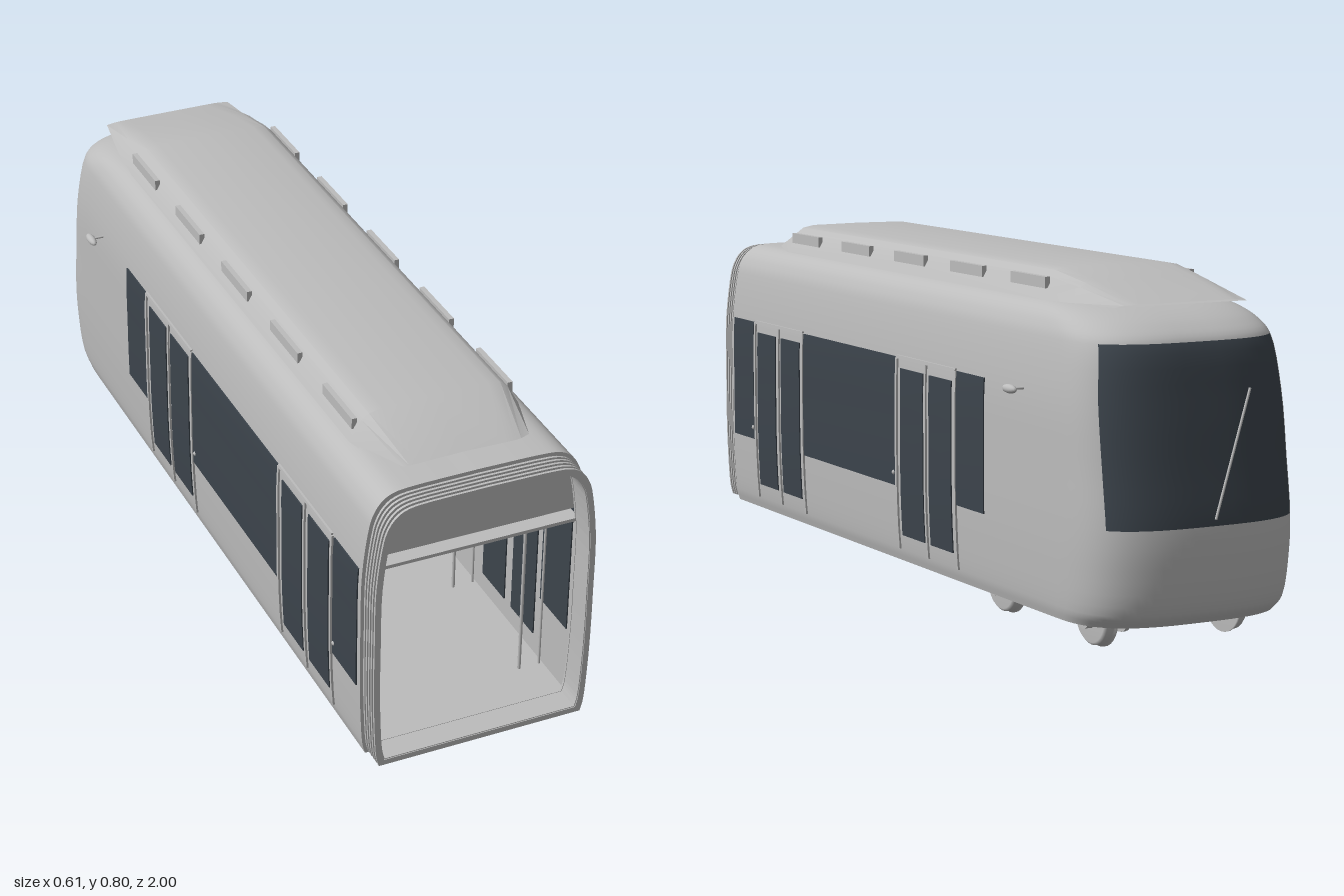
import * as THREE from 'three';
import { toCreasedNormals } from 'three/addons/utils/BufferGeometryUtils.js';

const END = 0.94; // z where the shell meets the bellows
const SUB = 4;    // subdivisions between body levels

// Body levels: half width, height, nose z
const LEVELS = [
  [0.25, 0.07, -0.945], [0.257, 0.1, -0.972], [0.263, 0.2, -0.988], [0.265, 0.285, -0.988],
  [0.265, 0.4, -0.972], [0.263, 0.55, -0.95], [0.247, 0.67, -0.925], [0.236, 0.7, -0.89],
  [0.222, 0.72, -0.845], [0.2, 0.735, -0.785], [0.165, 0.742, -0.73], [0, 0.745, -0.7],
].map((p) => new THREE.Vector3(...p));
const levelCurve = new THREE.CatmullRomCurve3(LEVELS);
const PROFILE = levelCurve.getPoints((LEVELS.length - 1) * SUB);

// Half width of the body at a height
function widthAt(y) {
  const i = Math.max(1, PROFILE.findIndex((p) => p.y >= y));
  const a = PROFILE[i - 1], b = PROFILE[i];
  return THREE.MathUtils.lerp(a.x, b.x, (y - a.y) / (b.y - a.y));
}

// Plan outline of one level: +x side, rounded nose, -x side
const NOSE = 20;
function outline({ x: w, y, z: front }) {
  const depth = 0.2, half = [new THREE.Vector3(w, y, END)];
  for (let i = 0; i <= NOSE; i++) {
    const t = (i / NOSE) * Math.PI / 2;
    const c = i === NOSE ? 0 : Math.cos(t);
    half.push(new THREE.Vector3(w * c ** (2 / 3), y, front + depth * (1 - Math.sin(t) ** (2 / 3))));
  }
  const mirror = half.slice(0, -1).reverse().map((p) => new THREE.Vector3(-p.x, p.y, p.z));
  return [...half, ...mirror];
}

// Skin over rows of points; cells passing the test go to the second group
function grid(rows, second = () => false) {
  const n = rows[0].length, parts = [[], []];
  for (let j = 0; j < rows.length - 1; j++) {
    for (let i = 0; i < n - 1; i++) {
      const a = j * n + i, b = a + 1, c = a + n, d = c + 1;
      parts[second(i, j) ? 1 : 0].push(a, b, c, b, d, c);
    }
  }
  const g = new THREE.BufferGeometry().setFromPoints(rows.flat());
  g.setIndex([...parts[0], ...parts[1]]);
  g.addGroup(0, parts[0].length, 0);
  if (parts[1].length) g.addGroup(parts[0].length, parts[1].length, 1);
  g.computeVertexNormals();
  return g;
}

// Body cross-section, shrunk by an inset
function sectionPoints(inset) {
  const kx = 1 - inset / 0.265, ky = 1 - inset / 0.335;
  const right = PROFILE.map((p) => new THREE.Vector2(p.x * kx, 0.405 + (p.y - 0.405) * ky));
  const left = right.slice(0, -1).reverse().map((p) => new THREE.Vector2(-p.x, p.y));
  return [...right, ...left];
}

function ring(outer, inner, depth) {
  const shape = new THREE.Shape(sectionPoints(outer));
  shape.holes.push(new THREE.Path(sectionPoints(inner)));
  return new THREE.ExtrudeGeometry(shape, { depth, bevelEnabled: false });
}

export function createModel() {
  const model = new THREE.Group();
  const paint = new THREE.MeshStandardMaterial({ color: 0xbcbcbc, side: THREE.DoubleSide });
  paint.name = 'grey paint';
  const glass = new THREE.MeshStandardMaterial({ color: 0x3c444c, side: THREE.DoubleSide });
  glass.name = 'dark glass';

  const add = (name, geo, x = 0, y = 0, z = 0, mat = paint) => {
    const m = new THREE.Mesh(geo, mat);
    m.name = name;
    m.position.set(x, y, z);
    model.add(m);
    return m;
  };
  // Box from its limits
  const box = (name, x0, x1, y0, y1, z0, z1, mat = paint) =>
    add(name, new THREE.BoxGeometry(x1 - x0, y1 - y0, z1 - z0), (x0 + x1) / 2, (y0 + y1) / 2, (z0 + z1) / 2, mat);
  // Round bar between two points
  const rod = (name, a, b, r, sides = 8) => {
    const from = new THREE.Vector3(...a), dir = new THREE.Vector3(...b).sub(from);
    const m = add(name, new THREE.CylinderGeometry(r, r, dir.length(), sides));
    m.position.copy(from).addScaledVector(dir, 0.5);
    m.quaternion.setFromUnitVectors(new THREE.Vector3(0, 1, 0), dir.normalize());
  };
  // Thin plate bent to the body side
  const sidePlate = (name, s, y0, y1, z0, z1, mat, thick = 0.006) => {
    const g = new THREE.BoxGeometry(thick, y1 - y0, z1 - z0, 1, 8, 1);
    g.translate(0, (y0 + y1) / 2, (z0 + z1) / 2);
    const p = g.attributes.position;
    for (let i = 0; i < p.count; i++) p.setX(i, p.getX(i) + s * widthAt(p.getY(i)));
    g.computeVertexNormals();
    add(name, g, 0, 0, 0, mat);
  };

  // Shell with wrap-around windscreen, and underside
  const isScreen = (i, j) => j >= 3 * SUB && j < 6 * SUB && i >= 9 && i < 2 * NOSE - 7;
  add('bodyShell', grid(PROFILE.map(outline), isScreen), 0, 0, 0, [paint, glass]);
  const base = LEVELS[0];
  add('underside', grid([outline(new THREE.Vector3(0, base.y, base.z)), outline(base)]));

  // Open end: rim, ribbed bellows and bulkhead above the passage
  add('endRim', ring(0, 0.022, 0.006), 0, 0, END - 0.006);
  add('bellowsCore', ring(0.011, 0.021, 0.058), 0, 0, END);
  for (let i = 0; i < 5; i++) add('bellowsRib', ring(0.006, 0.019, 0.006), 0, 0, END + 0.004 + i * 0.0125);
  const upper = sectionPoints(0.012).filter((p) => p.y > 0.55);
  add('bulkhead', new THREE.ExtrudeGeometry(new THREE.Shape(upper), { depth: 0.005, bevelEnabled: false }), 0, 0, 0.925);

  // Interior lining
  const CAB = -0.47;
  box('floor', -0.247, 0.247, 0.078, 0.085, CAB, END);
  box('ceiling', -0.247, 0.247, 0.548, 0.556, CAB, END);
  box('cabWall', -0.247, 0.247, 0.08, 0.55, CAB - 0.008, CAB);
  box('cabWindow', -0.18, -0.065, 0.35, 0.45, CAB, CAB + 0.004, glass);
  box('displayFrame', -0.07, 0.07, 0.48, 0.53, CAB, CAB + 0.006);
  box('displayPanel', -0.063, 0.063, 0.486, 0.526, CAB + 0.006, CAB + 0.01, glass);

  const windows = [[0.8, 0.925], [-0.02, 0.495], [-0.455, -0.325]];
  const panes = [[0.665, 0.775], [0.52, 0.63], [-0.16, -0.045], [-0.3, -0.19]];
  const doors = [[0.5, 0.79], [-0.32, -0.025]];

  for (const s of [-1, 1]) {
    const span = (a, b) => [Math.min(s * a, s * b), Math.max(s * a, s * b)];
    box('sideLining', ...span(0.243, 0.247), 0.08, 0.55, CAB, END);

    // Glazing outside and inside
    for (const [list, y0, y1, name] of [[windows, 0.25, 0.555, 'sideWindow'], [panes, 0.135, 0.53, 'doorPane']]) {
      for (const [z0, z1] of list) {
        sidePlate(name, s, y0, y1, z0, z1, glass);
        box(name + 'Inside', ...span(0.24, 0.243), y0, Math.min(y1, 0.545), z0, z1, glass);
      }
    }

    // Door edges, buttons and grab poles
    for (const [z0, z1] of doors) {
      const mid = (z0 + z1) / 2;
      for (const z of [z0, mid, z1]) sidePlate('doorEdge', s, 0.1, 0.555, z - 0.004, z + 0.004, paint, 0.01);
      sidePlate('doorHeader', s, 0.552, 0.56, z0, z1, paint, 0.01);
      add('doorButton', new THREE.SphereGeometry(0.006, 10, 8), s * 0.266, 0.28, z1 + 0.016);
      for (const z of [z0 - 0.02, z1 + 0.03]) {
        rod('grabPole', [s * 0.185, 0.085, z], [s * 0.185, 0.55, z], 0.004);
        rod('wallRail', [s * 0.235, 0.085, z], [s * 0.235, 0.54, z], 0.003);
      }
    }

    // Seats in pairs against the walls
    for (const z of [0.3, 0.08, -0.42]) {
      for (const x of [0.1, 0.195]) {
        box('seatBase', ...span(x - 0.046, x + 0.046), 0.16, 0.185, z, z + 0.09);
        box('seatBack', ...span(x - 0.046, x + 0.046), 0.16, 0.32, z - 0.015, z);
      }
    }

    // Mirrors
    rod('mirrorArm', [s * 0.255, 0.553, -0.63], [s * 0.295, 0.553, -0.63], 0.003);
    add('mirror', new THREE.SphereGeometry(0.01, 16, 12), s * 0.295, 0.553, -0.627).scale.z = 2.8;

    // Roof vents
    for (let i = 0; i < 5; i++) box('roofVent', ...span(0.178, 0.19), 0.762, 0.787, 0.565 - i * 0.29, 0.72 - i * 0.29);

    // Wheels and brake discs
    for (const z of [-0.38, -0.78]) {
      const tyre = [[0, -0.014], [0.062, -0.014], [0.068, -0.008], [0.068, 0.008], [0.073, 0.01], [0.073, 0.015], [0, 0.015]];
      const wheel = add('wheel', new THREE.LatheGeometry(tyre.map((p) => new THREE.Vector2(...p)), 32), s * 0.168, 0.076, z);
      wheel.rotation.z = s * Math.PI / 2;
      rod('hub', [s * 0.18, 0.076, z], [s * 0.2, 0.076, z], 0.03, 20);
      rod('brakeDisc', [s * 0.1, 0.076, z], [s * 0.11, 0.076, z], 0.046, 24);
      box('brakeCaliper', ...span(0.09, 0.12), 0.105, 0.13, z - 0.02, z + 0.02);
    }
  }

  rod('centrePole', [0, 0.085, -0.17], [0, 0.55, -0.17], 0.004);

  // Axles and drive motors
  for (const z of [-0.38, -0.78]) rod('axle', [-0.17, 0.076, z], [0.17, 0.076, z], 0.012, 12);
  for (const z of [-0.48, -0.68]) rod('motor', [-0.095, 0.068, z], [0.065, 0.068, z], 0.028, 20);

  // Roof pod: z, base half width, base height, crown height
  const podSections = [
    [-0.85, 0.165, 0.742, 0.746], [-0.7, 0.19, 0.74, 0.785], [-0.58, 0.2, 0.738, 0.806],
    [0.73, 0.2, 0.738, 0.806], [0.87, 0.16, 0.738, 0.744],
  ];
  const podRows = podSections.map(([z, w, y, top]) => {
    const h = top - y, k = w / 0.2;
    const half = [[w, y], [0.172 * k, y + h * 0.72], [0.155 * k, y + h * 0.9], [0.125 * k, y + h * 0.98]];
    const loop = [...half, [0, top], ...half.map(([a, b]) => [-a, b]).reverse(), half[0]];
    return loop.map(([a, b]) => new THREE.Vector3(a, b, z));
  });
  add('roofPod', toCreasedNormals(grid(podRows), 0.45));

  // Windscreen wiper
  rod('wiper', [0, 0.3, -0.993], [-0.1, 0.57, -0.965], 0.003);

  return model;
}
